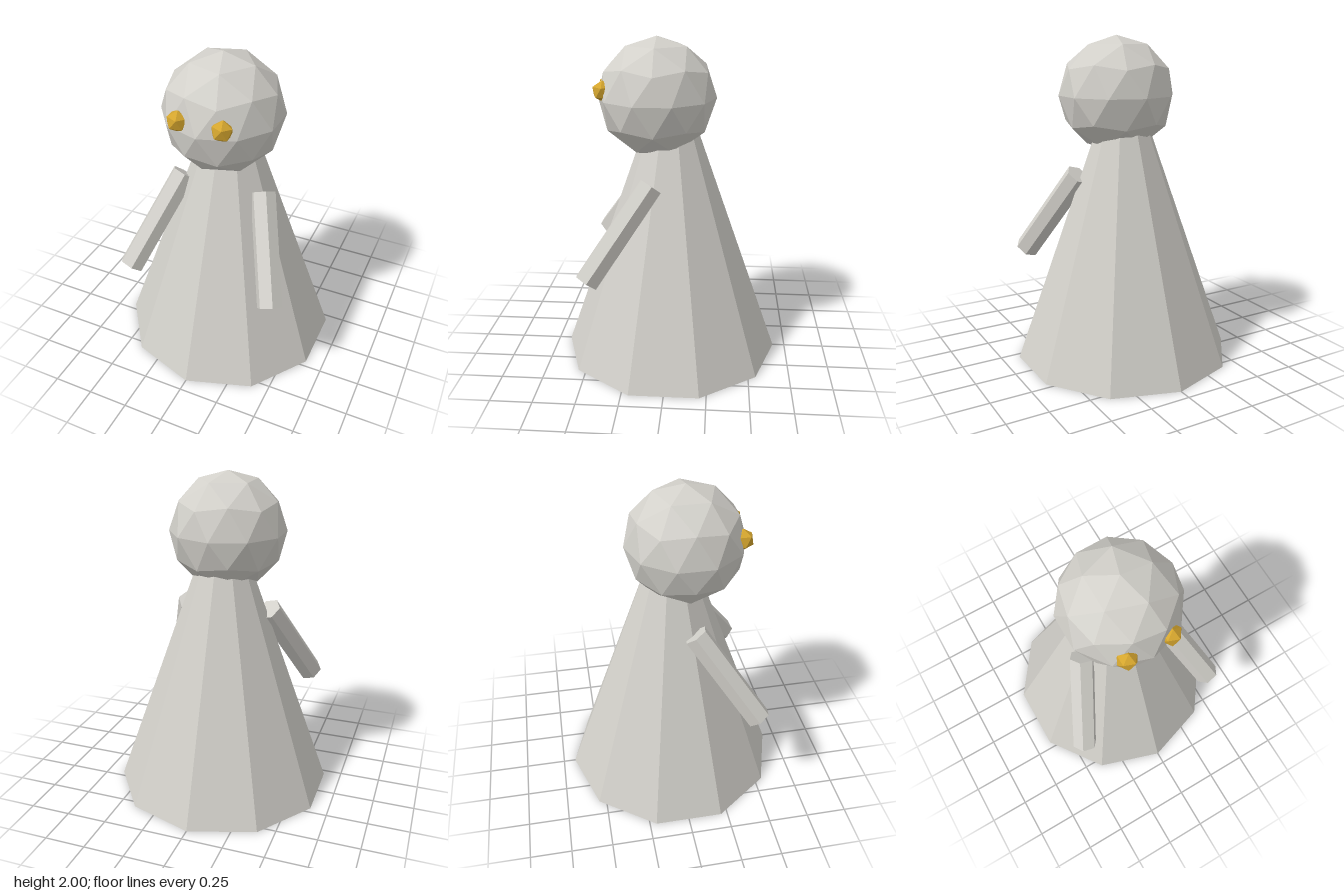
import * as THREE from 'three';

const stone = new THREE.MeshStandardMaterial({ color: 0xd2d0ca, flatShading: true });
stone.name = 'pale stone';
const gold = new THREE.MeshStandardMaterial({ color: 0xd4a52e, flatShading: true });
gold.name = 'gold';

// Faceted ball with one corner pointing straight up
function facetedBall(radius, detail) {
  const g = new THREE.IcosahedronGeometry(radius, detail);
  g.rotateZ(-Math.atan(2 / (1 + Math.sqrt(5))));
  return g;
}

function part(name, geometry, material) {
  const mesh = new THREE.Mesh(geometry, material);
  mesh.name = name;
  return mesh;
}

// Six-sided rod between two points, with one corner turned to the side
function rod(from, to, radius) {
  const up = from.clone().sub(to);
  const g = new THREE.CylinderGeometry(radius, radius, up.length(), 6, 1, false, Math.PI / 6);
  up.normalize();
  const side = new THREE.Vector3(1, 0, 0).addScaledVector(up, -up.x).normalize();
  const front = side.clone().cross(up);
  g.applyMatrix4(new THREE.Matrix4().makeBasis(side, up, front));
  const mid = from.clone().add(to).multiplyScalar(0.5);
  return g.translate(mid.x, mid.y, mid.z);
}

export function createModel() {
  const model = new THREE.Group();
  model.name = 'figure';

  // Ten-sided robe, its narrow top hidden in the head
  const bodyHeight = 1.55, baseRadius = 0.675, apex = 1.91;
  const topRadius = baseRadius * (1 - bodyHeight / apex);
  const robe = new THREE.CylinderGeometry(topRadius, baseRadius, bodyHeight, 10);
  robe.translate(0, bodyHeight / 2, 0);
  model.add(part('body', robe, stone));

  // Head
  const head = part('head', facetedBall(0.357, 1), stone);
  head.position.set(0, 1.643, 0.083);
  model.add(head);

  // Arms and eyes on both sides
  for (const [name, s] of [['left', 1], ['right', -1]]) {
    const shoulder = new THREE.Vector3(0.26 * s, 1.165, 0.1);
    const hand = new THREE.Vector3(0.465 * s, 0.635, 0.462);
    model.add(part(name + 'Arm', rod(shoulder, hand, 0.077), stone));

    const eye = part(name + 'Eye', facetedBall(0.064, 0), gold);
    eye.position.set(0.132 * s, 1.697, 0.388);
    eye.rotation.z = -0.1;
    model.add(eye);
  }
  return model;
}
